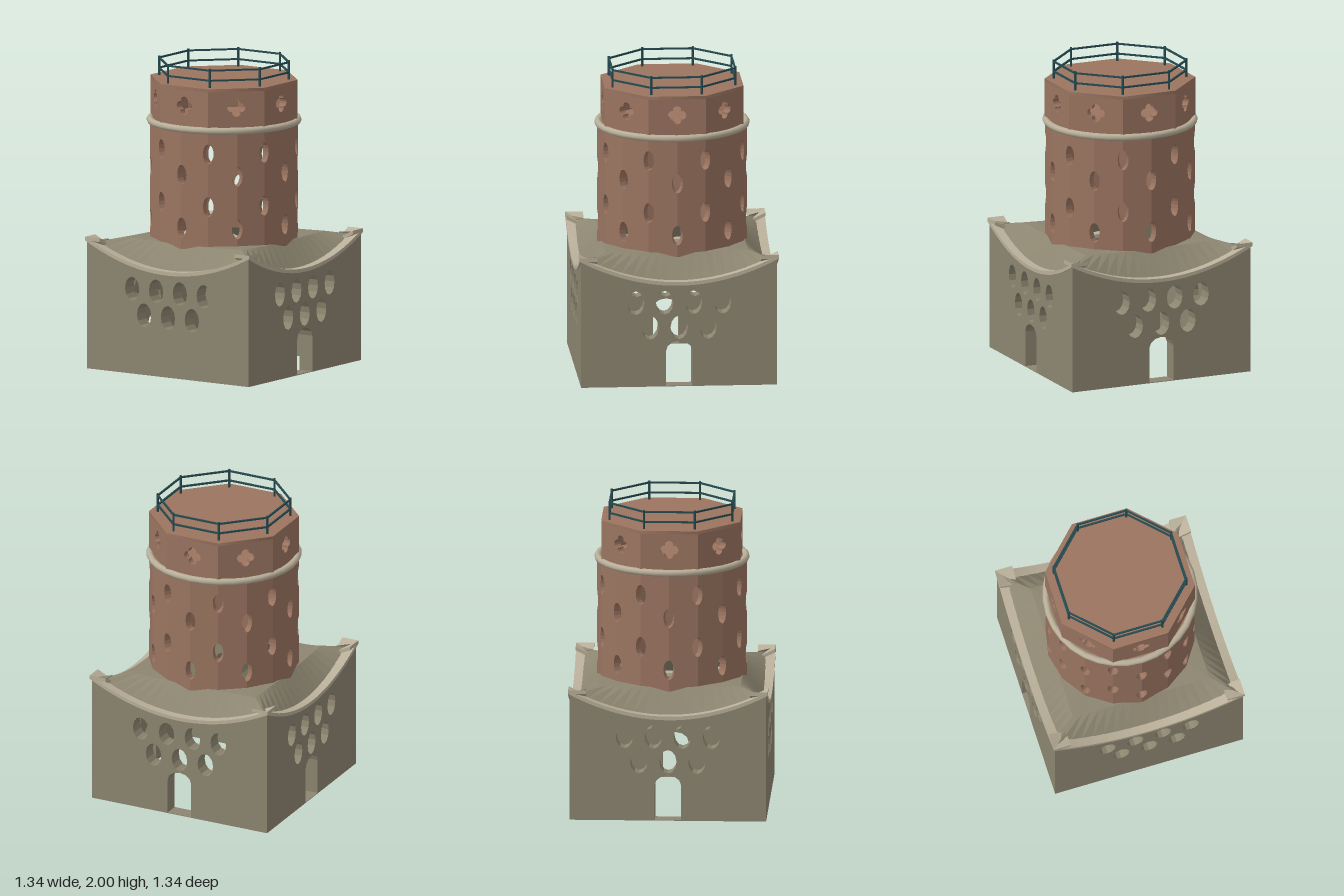
import * as THREE from 'three';

const stone = new THREE.MeshStandardMaterial({ color: 0x8c8570, side: THREE.DoubleSide });
stone.name = 'olive stone';
const brick = new THREE.MeshStandardMaterial({ color: 0x9a7460 });
brick.name = 'brown brick';
const trim = new THREE.MeshStandardMaterial({ color: 0xb9af99 });
trim.name = 'pale trim';
const iron = new THREE.MeshStandardMaterial({ color: 0x264a50 });
iron.name = 'dark iron';

const HALF = 0.633, WALL = 0.1;      // base half-width and wall thickness
const R = 0.483;                     // drum radius
const sag = (x) => 0.692 + 0.168 * (x / 0.643) ** 2; // top line of the walls

function add(group, name, geometry, material, angle = 0) {
  const mesh = new THREE.Mesh(geometry, material);
  mesh.name = name;
  mesh.rotation.y = angle;
  group.add(mesh);
  return mesh;
}

function arc(cx, cy, rx, ry, from, to, n) {
  return Array.from({ length: n + 1 }, (_, i) => {
    const a = from + ((to - from) * i) / n;
    return new THREE.Vector2(cx + rx * Math.cos(a), cy + ry * Math.sin(a));
  });
}

// Sampled sagging line from x = -half to half
function sagLine(half, drop) {
  return Array.from({ length: 25 }, (_, i) => {
    const x = half * (i / 12 - 1);
    return new THREE.Vector2(x, sag(x) - drop);
  });
}

// Extrusion whose outer face lies at z = front
function slab(shape, depth, front) {
  return new THREE.ExtrudeGeometry(shape, { depth, bevelEnabled: false }).translate(0, 0, front - depth);
}

// Base wall with seven oval openings, optionally a doorway
function wallGeometry(door) {
  const shape = new THREE.Shape([
    new THREE.Vector2(HALF, 0), ...sagLine(HALF, 0.012).reverse(), new THREE.Vector2(-HALF, 0),
  ]);
  const spots = [[-1.5, 0.555], [-0.5, 0.555], [0.5, 0.555], [1.5, 0.555], [-1, 0.39], [0, 0.39], [1, 0.39]];
  for (const [i, y] of spots) {
    shape.holes.push(new THREE.Path(arc(i * 0.187, y, 0.056, 0.078, 0, Math.PI * 2, 12).slice(0, -1)));
  }
  if (door) {
    shape.holes.push(new THREE.Path([
      new THREE.Vector2(-0.085, 0.004), new THREE.Vector2(0.085, 0.004),
      ...arc(0, 0.235, 0.085, 0.065, 0, Math.PI, 6),
    ]));
  }
  const geo = slab(shape, WALL, HALF);
  // Mitre the ends where walls meet
  const p = geo.attributes.position;
  for (let i = 0; i < p.count; i++) {
    p.setX(i, THREE.MathUtils.clamp(p.getX(i), -p.getZ(i), p.getZ(i)));
  }
  geo.computeVertexNormals();
  return geo;
}

// Roof: concentric loops from the sagging wall tops to the drum
function roofGeometry() {
  const n = 16, pos = [], idx = [], loop = 4 * n;
  for (let ring = 0; ring < 3; ring++) {
    for (let k = 0; k < loop; k++) {
      const u = (2 * (k % n)) / n - 1, turn = (Math.floor(k / n) * Math.PI) / 2;
      const half = ring === 0 ? 0.6 : 0.46;
      let x = u * half, z = half, y = ring === 0 ? sag(x) - 0.014 : 0.843 + 0.01 * u * u;
      if (ring === 2) {
        const s = 0.43 / Math.hypot(x, z);
        x *= s; z *= s; y = 0.85;
      }
      pos.push(x * Math.cos(turn) + z * Math.sin(turn), y, z * Math.cos(turn) - x * Math.sin(turn));
      if (ring < 2) {
        const a = ring * loop + k, b = ring * loop + ((k + 1) % loop);
        idx.push(a, b, b + loop, a, b + loop, a + loop);
      }
    }
  }
  const geo = new THREE.BufferGeometry();
  geo.setAttribute('position', new THREE.Float32BufferAttribute(pos, 3));
  geo.setIndex(idx);
  const flat = geo.toNonIndexed();
  flat.computeVertexNormals();
  return flat;
}

// Drum panel with half windows bitten out of both edges
function drumPanel(leftRows, rightRows) {
  const w = R * Math.sin(Math.PI / 16), y0 = 0.82, y1 = 1.59;
  const pts = [new THREE.Vector2(-w, y0), new THREE.Vector2(w, y0)];
  for (const y of rightRows) pts.push(...arc(w, y, 0.036, 0.065, 1.5 * Math.PI, 0.5 * Math.PI, 8));
  pts.push(new THREE.Vector2(w, y1), new THREE.Vector2(-w, y1));
  for (const y of [...leftRows].reverse()) pts.push(...arc(-w, y, 0.036, 0.065, 0.5 * Math.PI, -0.5 * Math.PI, 8));
  return slab(new THREE.Shape(pts), 0.05, R * Math.cos(Math.PI / 16));
}

// Lantern panel with a four-lobed opening
function lanternPanel(radius) {
  const w = radius * Math.sin(Math.PI / 8);
  const shape = new THREE.Shape([[-w, 1.59], [w, 1.59], [w, 1.855], [-w, 1.855]].map((p) => new THREE.Vector2(...p)));
  const lobes = [];
  for (let i = 0; i < 4; i++) {
    const a = (i * Math.PI) / 2;
    lobes.push(...arc(0.031 * Math.cos(a), 1.75 + 0.031 * Math.sin(a), 0.029, 0.029, a - 1.75, a + 1.75, 8));
  }
  shape.holes.push(new THREE.Path(lobes));
  return slab(shape, 0.05, radius * Math.cos(Math.PI / 8));
}

export function createModel() {
  const model = new THREE.Group();
  model.name = 'tower';

  // Square base with sagging trim
  const base = new THREE.Group();
  base.name = 'base';
  const plain = wallGeometry(false), withDoor = wallGeometry(true);
  const coping = slab(new THREE.Shape([...sagLine(0.643, 0.024), ...sagLine(0.643, 0).reverse()]), 0.115, 0.643);
  for (let i = 0; i < 4; i++) {
    const a = (i * Math.PI) / 2;
    add(base, i ? 'doorWall' : 'frontWall', i ? withDoor : plain, stone, a);
    add(base, 'wallTrim', coping, trim, a);
  }
  add(base, 'baseRoof', roofGeometry(), stone);

  // Sixteen-sided drum, windows staggered on its edges
  const drum = new THREE.Group();
  drum.name = 'drum';
  const rowsA = [0.96, 1.305], rowsB = [1.105, 1.45];
  const panels = [drumPanel(rowsA, rowsB), drumPanel(rowsB, rowsA)];
  for (let i = 0; i < 16; i++) add(drum, 'drumPanel', panels[i % 2], brick, ((i + 0.5) * Math.PI) / 8);
  add(drum, 'drumLid', new THREE.CylinderGeometry(R, R, 0.02, 16), brick).position.y = 1.6;
  add(drum, 'drumBand', new THREE.TorusGeometry(0.478, 0.023, 8, 32).rotateX(Math.PI / 2), trim).position.y = 1.602;

  // Octagonal lantern and deck
  const lantern = new THREE.Group();
  lantern.name = 'lantern';
  const lr = 0.485, panel = lanternPanel(lr);
  for (let i = 0; i < 8; i++) add(lantern, 'lanternPanel', panel, brick, (i * Math.PI) / 4);
  add(lantern, 'deck', new THREE.CylinderGeometry(lr, lr, 0.02, 8), brick, Math.PI / 8).position.y = 1.865;

  // Railing around the deck
  const railing = new THREE.Group();
  railing.name = 'railing';
  const rr = 0.428, apothem = rr * Math.cos(Math.PI / 8), side = 2 * rr * Math.sin(Math.PI / 8);
  const post = new THREE.CylinderGeometry(0.008, 0.008, 0.13, 6).translate(0, 1.935, rr);
  for (let i = 0; i < 8; i++) {
    add(railing, 'railPost', post, iron, ((i + 0.5) * Math.PI) / 4);
    for (const y of [1.922, 1.988]) {
      add(railing, 'rail', new THREE.BoxGeometry(side, 0.011, 0.011).translate(0, y, apothem), iron, (i * Math.PI) / 4);
    }
  }

  model.add(base, drum, lantern, railing);
  model.rotation.y = THREE.MathUtils.degToRad(-2.5);
  return model;
}
